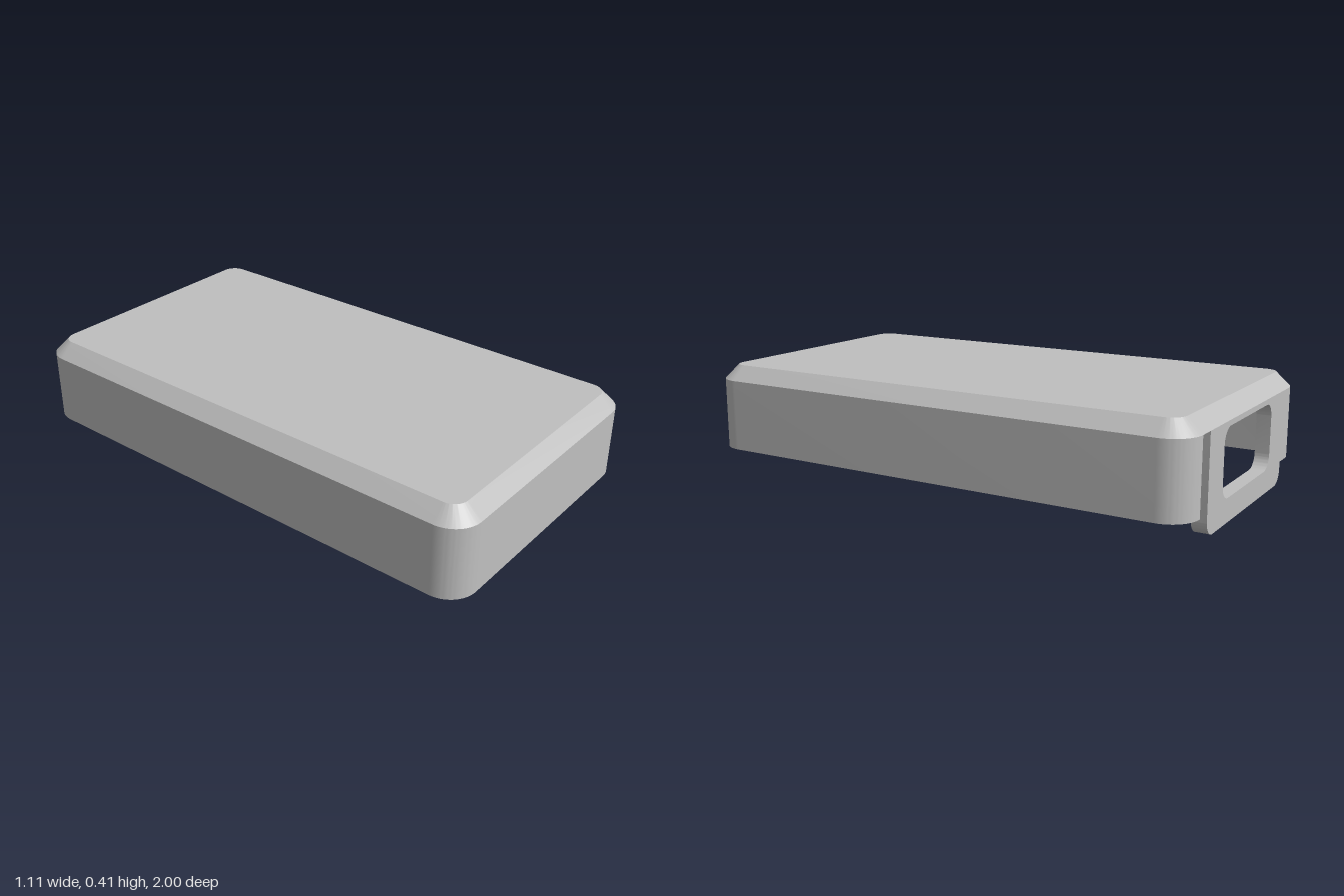
import * as THREE from 'three';
import { toCreasedNormals } from 'three/addons/utils/BufferGeometryUtils.js';

const W = 0.553, L = 1, R = 0.11;            // half width, half length, corner radius
const WALL = 0.055, FRONT_WALL = 0.08;       // wall thicknesses
const BASE = 0.083, SHOULDER = 0.358, TOP = 0.413;
const TAB = 0.378;                           // half width of the back panel

// Rounded rectangle with separate radii for the lower and upper corners
function roundedRect(path, x0, y0, x1, y1, rLow, rHigh) {
  path.moveTo(x0 + rLow, y0);
  path.lineTo(x1 - rLow, y0);
  if (rLow) path.absarc(x1 - rLow, y0 + rLow, rLow, -Math.PI / 2, 0, false);
  path.lineTo(x1, y1 - rHigh);
  if (rHigh) path.absarc(x1 - rHigh, y1 - rHigh, rHigh, 0, Math.PI / 2, false);
  path.lineTo(x0 + rHigh, y1);
  if (rHigh) path.absarc(x0 + rHigh, y1 - rHigh, rHigh, Math.PI / 2, Math.PI, false);
  path.lineTo(x0, y0 + rLow);
  if (rLow) path.absarc(x0 + rLow, y0 + rLow, rLow, Math.PI, Math.PI * 1.5, false);
  return path;
}

const extrude = (shape, depth) =>
  new THREE.ExtrudeGeometry(shape, { depth, bevelEnabled: false, curveSegments: 12 });

export function createModel() {
  const group = new THREE.Group();
  const grey = new THREE.MeshStandardMaterial({ color: 0xbfbfbf });
  grey.name = 'grey';

  function add(name, geometry) {
    const mesh = new THREE.Mesh(toCreasedNormals(geometry, 0.5), grey);
    mesh.name = name;
    group.add(mesh);
  }

  // Side and front walls: a plan outline left open at the back (plan y points to the back)
  const q = Math.PI / 2, iw = W - WALL, ib = L - WALL, f = -L + FRONT_WALL, ri = R - WALL;
  const wall = new THREE.Shape();
  wall.moveTo(TAB, L);
  wall.absarc(W - R, L - R, R, q, 0, true);
  wall.absarc(W - R, -L + R, R, 0, -q, true);
  wall.absarc(-W + R, -L + R, R, -q, -2 * q, true);
  wall.absarc(-W + R, L - R, R, 2 * q, q, true);
  wall.lineTo(-TAB, L);
  wall.lineTo(-TAB, ib);
  wall.absarc(-iw + ri, ib - ri, ri, q, 2 * q, false);
  wall.absarc(-iw + ri, f + ri, ri, 2 * q, 3 * q, false);
  wall.absarc(iw - ri, f + ri, ri, -q, 0, false);
  wall.absarc(iw - ri, ib - ri, ri, 0, q, false);
  wall.lineTo(TAB, ib);
  wall.closePath();
  add('walls', extrude(wall, SHOULDER - BASE).rotateX(-q).translate(0, BASE, 0));

  // Back panel with its hanging tab and rounded window
  const panel = roundedRect(new THREE.Shape(), -TAB, 0, TAB, SHOULDER, 0.055, 0);
  panel.holes.push(roundedRect(new THREE.Path(), -0.243, 0.088, 0.243, 0.338, 0.055, 0.055));
  add('backPanel', extrude(panel, WALL).translate(0, 0, -L));

  // Top plate: the upper outline is drawn in to make the chamfer
  const plate = extrude(roundedRect(new THREE.Shape(), -W, -L, W, L, R, R), TOP - SHOULDER);
  const p = plate.attributes.position;
  const pull = (v, core) => {
    const c = THREE.MathUtils.clamp(v, -core, core);
    return c + (v - c) * 0.5;
  };
  for (let i = 0; i < p.count; i++) {
    if (p.getZ(i) > 0.01) p.setXY(i, pull(p.getX(i), W - R), pull(p.getY(i), L - R));
  }
  add('topPlate', plate.rotateX(-q).translate(0, SHOULDER, 0));

  return group;
}
